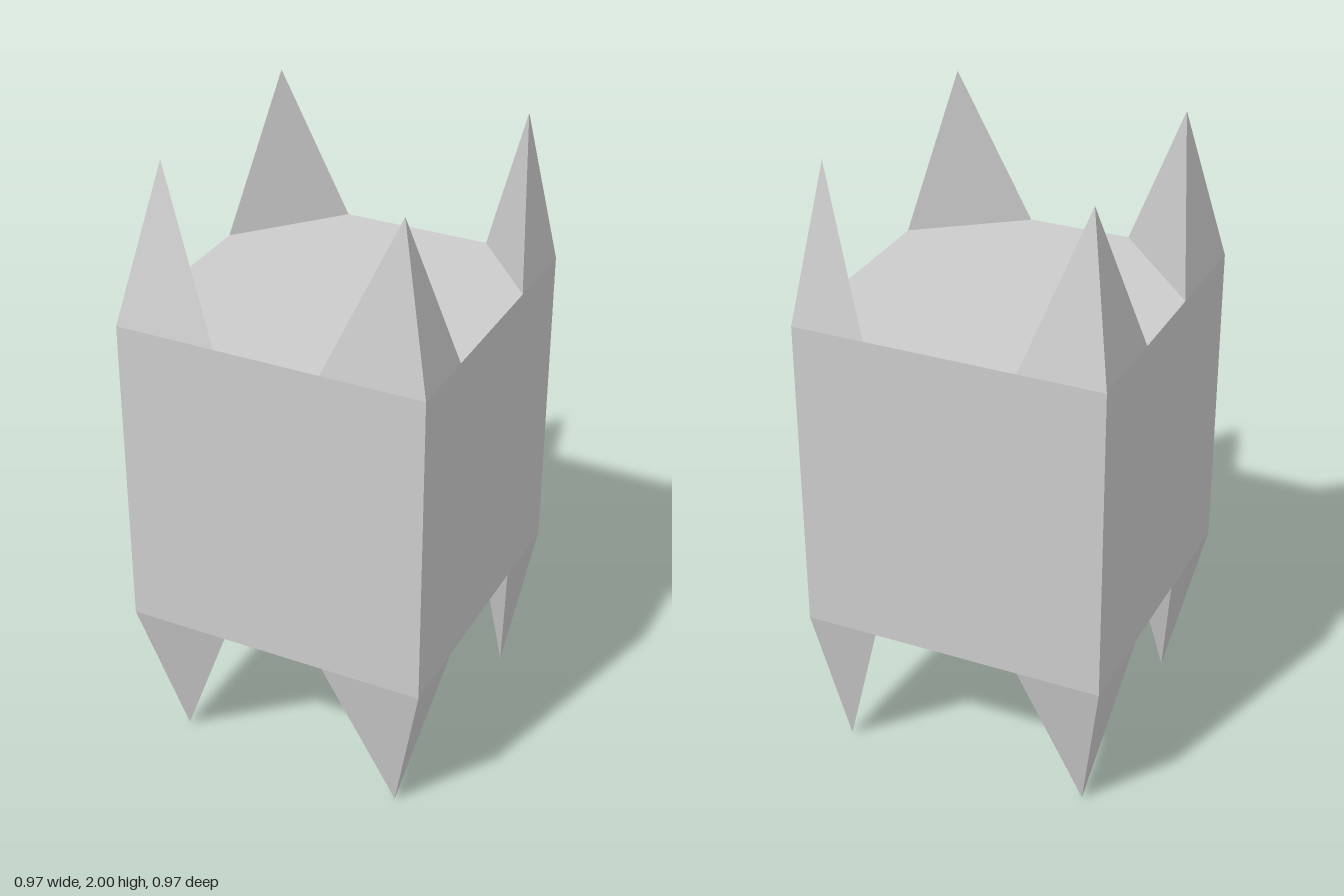
import * as THREE from 'three';

const HALF = 0.486, BOTTOM = 0.495, TOP = 1.51;

// Corner spikes: signs of the corner, base ends along the x and z edges, tip position
const SPIKES = [
  { name: 'FrontLeft', sx: 1, sz: 1, xEnd: 0.165, zEnd: 0.25, tip: [0.38, 0.408] },
  { name: 'FrontRight', sx: -1, sz: 1, xEnd: -0.168, zEnd: 0.13, tip: [-0.382, 0.368] },
  { name: 'BackLeft', sx: 1, sz: -1, xEnd: 0.255, zEnd: -0.212, tip: [0.408, -0.396] },
  { name: 'BackRight', sx: -1, sz: -1, xEnd: -0.22, zEnd: -0.182, tip: [-0.4, -0.386] },
];

// Three-sided pyramid standing on a corner of the body (its base is hidden by the body)
function spikeGeometry({ sx, sz, xEnd, zEnd, tip }, baseY, tipY) {
  const corner = [sx * HALF, baseY, sz * HALF];
  const onX = [xEnd, baseY, sz * HALF];
  const onZ = [sx * HALF, baseY, zEnd];
  const apex = [tip[0], tipY, tip[1]];
  const loop = [corner, onZ, onX];
  if (sx * sz * Math.sign(tipY - baseY) < 0) loop.reverse();
  const positions = loop.flatMap((p, i) => [...p, ...loop[(i + 1) % 3], ...apex]);
  const geometry = new THREE.BufferGeometry();
  geometry.setAttribute('position', new THREE.Float32BufferAttribute(positions, 3));
  geometry.computeVertexNormals();
  return geometry;
}

export function createModel() {
  const group = new THREE.Group();
  group.name = 'spikedBlock';
  const material = new THREE.MeshStandardMaterial({ color: 0xcccccc, flatShading: true });

  // Central block
  const body = new THREE.Mesh(new THREE.BoxGeometry(2 * HALF, TOP - BOTTOM, 2 * HALF), material);
  body.name = 'body';
  body.position.y = (TOP + BOTTOM) / 2;
  group.add(body);

  // Matching spikes above and below each corner
  for (const spike of SPIKES) {
    for (const [prefix, baseY, tipY] of [['upper', TOP, 2], ['lower', BOTTOM, 0]]) {
      const mesh = new THREE.Mesh(spikeGeometry(spike, baseY, tipY), material);
      mesh.name = `${prefix}${spike.name}Spike`;
      group.add(mesh);
    }
  }
  return group;
}
